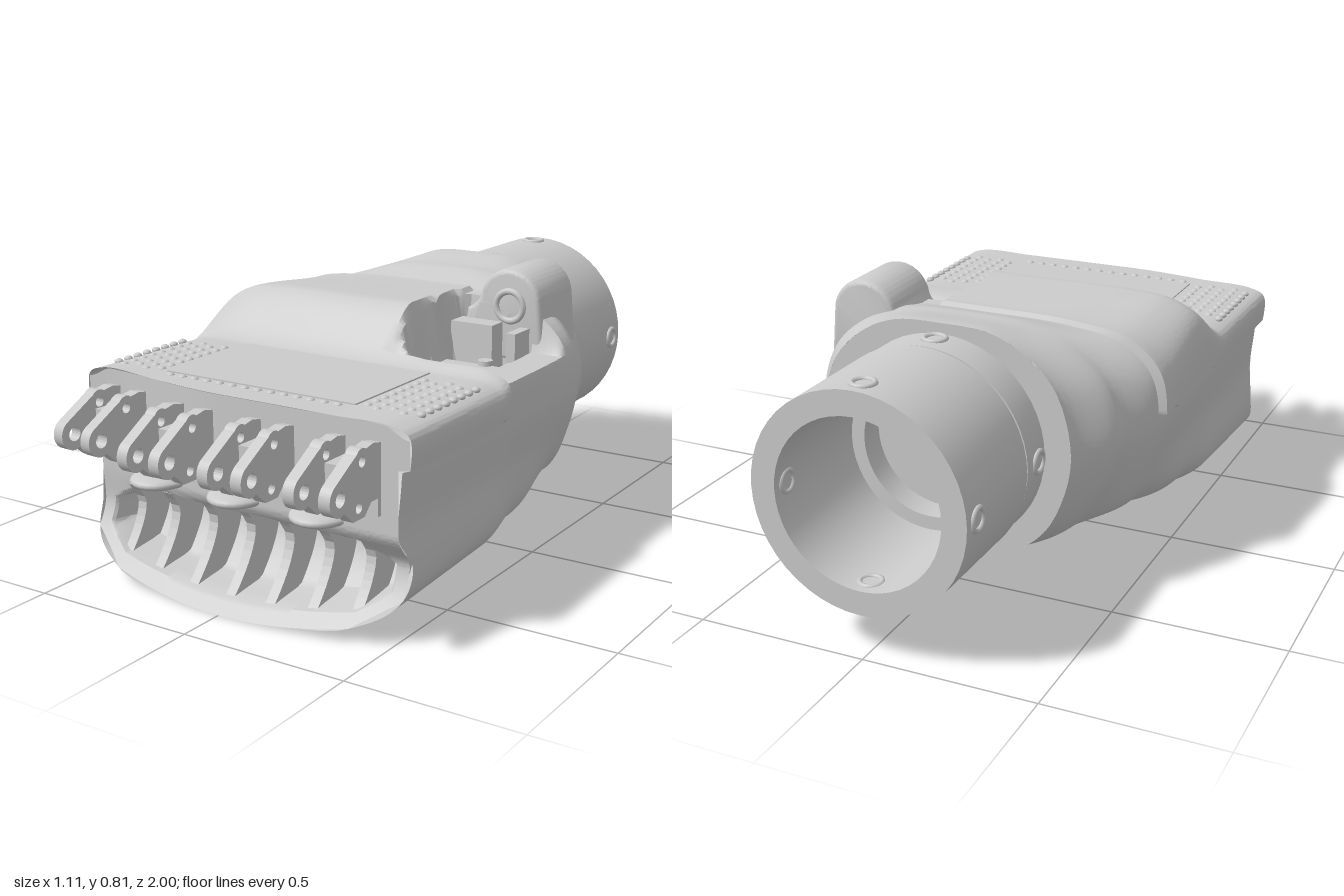
import * as THREE from 'three';
import { toCreasedNormals } from 'three/addons/utils/BufferGeometryUtils.js';

const { smoothstep: ss, lerp, clamp } = THREE.MathUtils;
const grey = new THREE.MeshStandardMaterial({ color: 0xcccccc, side: THREE.DoubleSide });

function add(parent, name, geo, x = 0, y = 0, z = 0) {
  const m = new THREE.Mesh(geo, grey);
  m.name = name;
  m.position.set(x, y, z);
  parent.add(m);
  return m;
}

// Surface over (u, v) in 0..1, facing du x dv
function grid(nu, nv, fn) {
  const pos = [], idx = [];
  for (let i = 0; i <= nu; i++) for (let j = 0; j <= nv; j++) pos.push(...fn(i / nu, j / nv));
  for (let i = 0; i < nu; i++) for (let j = 0; j < nv; j++) {
    const a = i * (nv + 1) + j, b = a + nv + 1;
    idx.push(a, b, a + 1, b, b + 1, a + 1);
  }
  const g = new THREE.BufferGeometry();
  g.setAttribute('position', new THREE.Float32BufferAttribute(pos, 3));
  g.setIndex(idx);
  return toCreasedNormals(g, 0.6);
}

// Side-view shape (z, y) given thickness along x, centred on x = 0
function sidePlate(shape, width) {
  return new THREE.ExtrudeGeometry(shape, { depth: width, bevelEnabled: false, curveSegments: 10 })
    .translate(0, 0, -width / 2).rotateY(-Math.PI / 2);
}

function circleHole(x, y, r) {
  return new THREE.Path().absarc(x, y, r, 0, Math.PI * 2, true);
}

// Right half outlines of the body, top centre to bottom centre, from wrist to knuckles
const zKeys = [-0.52, -0.36, -0.2, 0.1, 0.3];
const halves = [
  [0, .775, .15, .765, .26, .71, .34, .62, .38, .47, .37, .36, .31, .22, .22, .14, .12, .1, 0, .09],
  [0, .755, .18, .745, .32, .7, .42, .61, .465, .47, .44, .34, .36, .2, .24, .11, .12, .085, 0, .08],
  [0, .715, .25, .71, .41, .68, .5, .6, .525, .47, .5, .33, .44, .2, .3, .125, .15, .11, 0, .105],
  [0, .72, .3, .72, .42, .705, .5, .65, .525, .47, .51, .33, .49, .17, .37, .08, .18, .045, 0, .04],
  [0, .575, .3, .575, .48, .57, .525, .54, .525, .45, .515, .33, .515, .15, .39, .055, .2, .03, 0, .02],
  [0, .575, .3, .575, .48, .573, .528, .55, .525, .45, .515, .33, .515, .12, .39, .04, .2, .012, 0, 0],
];
const outlines = halves.map((h) => {
  const p = [];
  for (let i = 0; i < h.length; i += 2) p.push(new THREE.Vector3(h[i], h[i + 1], 0));
  const left = p.slice(1, -1).reverse().map((q) => new THREE.Vector3(-q.x, q.y, 0));
  return new THREE.CatmullRomCurve3([...p, ...left], true);
});

// z of the front: upright knuckle face above, scooped lip below
function frontZ(x, y) {
  if (y < 0.2) return 0.72 + 0.14 * Math.pow(1 - clamp(y, 0, 0.2) / 0.2, 1.6);
  const k = ss(y, 0.2, 0.3);
  return 0.72 + k * (0.055 - 0.05 * ss(-x, 0.05, 0.5));
}

// Lower edge of the front opening
function lowerEdge(x) {
  const a = Math.abs(x);
  return a < 0.39 ? 0.04 * (a / 0.39) ** 2 : lerp(0.04, 0.12, (a - 0.39) / 0.125);
}

// Depth inside the thumb notch, a rectangle with a rounded inner front corner
function notchDepth(x, z) {
  const r = 0.12, dx = 0.15 + r - x, dz = z - (0.25 - r);
  const corner = dx > 0 && dz > 0 ? r - Math.hypot(dx, dz) : r - Math.max(dx, dz);
  return Math.min(corner, z + 0.16);
}

function bodyPoint(u, v) {
  const s = Math.min(u * 5, 4.9999), i = Math.floor(s), t = u === 1 ? 1 : s - i;
  const k = i === 4 ? t : ss(t, 0, 1);
  const p = outlines[i].getPoint(v % 1).lerp(outlines[i + 1].getPoint(v % 1), k);
  let { x, y } = p;
  const z = lerp(zKeys[i], i === 4 ? frontZ(x, y) : zKeys[i + 1], t);
  // raised cover over the back of the hand and its skirt
  if (z > -0.22 && y > 0.48 && (x < 0.15 || z > 0.24)) {
    x *= 1.04;
    y += 0.014 * ss(y, 0.48, 0.56);
  }
  // thumb notch with a deeper well
  const d = notchDepth(x, z);
  if (d > 0 && y > 0.56) {
    y = lerp(y, Math.min(y, 0.57), ss(d, 0, 0.025));
    if (x > 0.18 && x < 0.41 && z < 0.13) y = Math.min(y, 0.51);
  }
  return [x, y, z];
}

function frontPoint(u, v) {
  const s = u * 2 - 1, yb = lowerEdge(s * 0.515);
  const y = lerp(yb, 0.588 - 0.03 * ss(Math.abs(s), 0.85, 1), v);
  const x = s * (y > 0.48 ? 0.549 : 0.516), a = Math.abs(x);
  const inside = Math.min(y - yb - 0.035, 0.262 - y, 0.475 - a, (0.475 - a) * 0.6 + 0.205 - y);
  return [x, y, frontZ(x, y) - 0.12 * ss(inside, 0, 0.02)];
}

function wristTube(root) {
  const profile = [[.305, .5], [.305, .63], [.295, .63], [.295, .645], [.31, .645], [.31, 1], [.24, 1],
    [.24, .61], [.2, .61], [.2, .53], [0, .53]].map((p) => new THREE.Vector2(...p));
  const geo = new THREE.LatheGeometry(profile, 48).rotateX(-Math.PI / 2);
  add(root, 'wristTube', toCreasedNormals(geo, 0.5), 0, 0.44, 0);
  // screw rims around both bands, outside and inside
  for (let i = 0; i < 4; i++) {
    const a = i * Math.PI / 2;
    for (const [z, r] of [[-0.94, 0.309], [-0.94, 0.241], [-0.56, 0.304]]) {
      const rim = add(root, 'screwRim', new THREE.TorusGeometry(0.03, 0.008, 8, 20),
        Math.sin(a) * r, 0.44 + Math.cos(a) * r, z);
      rim.rotation.set(Math.PI / 2, a, 0, 'YXZ');
      rim.lookAt(Math.sin(a) * 2, 0.44 + Math.cos(a) * 2, z);
    }
  }
}

function knuckle(root, x, dz, turn) {
  const g = new THREE.Group();
  g.name = 'knuckle';
  g.position.set(x, 0, 0.76 + dz);
  g.rotation.y = turn;
  root.add(g);
  const s = new THREE.Shape();
  s.moveTo(0, 0.4);
  s.lineTo(0.06, 0.4);
  s.lineTo(0.09, 0.37);
  s.lineTo(0.14, 0.37);
  s.lineTo(0.18, 0.405);
  s.absarc(0.195, 0.445, 0.045, -1.6, 1.1, false);
  s.lineTo(0.13, 0.535);
  s.absarc(0.1, 0.52, 0.03, 0.6, 2.2, false);
  s.lineTo(0.05, 0.55);
  s.lineTo(0, 0.54);
  s.holes.push(circleHole(0.195, 0.445, 0.02), circleHole(0.1, 0.515, 0.014), circleHole(0.115, 0.4, 0.014));
  for (const side of [-1, 1]) add(g, 'prong', sidePlate(s, 0.034), side * 0.053);
  add(g, 'link', new THREE.BoxGeometry(0.04, 0.11, 0.13), 0, 0.45, 0.065);
  add(g, 'seat', new THREE.BoxGeometry(0.14, 0.1, 0.04), 0, 0.4, 0.01);
  const bolt = new THREE.CylinderGeometry(0.03, 0.03, 0.1, 6).rotateX(Math.PI / 2);
  add(g, 'bolt', toCreasedNormals(bolt, 0.5), 0, 0.385, 0.06);
}

function thumbMount(root) {
  const s = new THREE.Shape();
  s.moveTo(0.18, 0.55);
  s.lineTo(0.2, 0.67);
  s.quadraticCurveTo(0.235, 0.69, 0.25, 0.73);
  s.absarc(0.33, 0.71, 0.085, 2.9, 0.1, true);
  s.lineTo(0.43, 0.55);
  s.holes.push(circleHole(0.332, 0.7, 0.025));
  const geo = new THREE.ExtrudeGeometry(s, {
    depth: 0.2, bevelThickness: 0.015, bevelSize: 0.015, bevelSegments: 3, curveSegments: 20,
  });
  add(root, 'thumbMount', toCreasedNormals(geo, 0.6), 0, 0, -0.355);
  add(root, 'pivotRim', new THREE.TorusGeometry(0.045, 0.01, 8, 28), 0.332, 0.7, -0.14);
  add(root, 'thumbLink', new THREE.BoxGeometry(0.14, 0.15, 0.07), 0.24, 0.575, -0.11);
  add(root, 'thumbCheek', new THREE.BoxGeometry(0.03, 0.14, 0.1), 0.385, 0.57, -0.1);
  add(root, 'wellStep', new THREE.BoxGeometry(0.2, 0.04, 0.1), 0.3, 0.53, 0.05);
  add(root, 'wellPin', new THREE.CylinderGeometry(0.022, 0.022, 0.03, 16), 0.33, 0.55, 0.0);
}

export function createModel() {
  const root = new THREE.Group();
  root.name = 'mechanicalHandPalm';

  // palm shell with its wrist end and front
  add(root, 'palmShell', grid(110, 252, bodyPoint));
  add(root, 'wristEnd', grid(1, 72, (u, v) => {
    const p = outlines[0].getPoint(v % 1);
    return [p.x * u, lerp(0.44, p.y, u), -0.52];
  }));
  add(root, 'frontFace', grid(140, 80, frontPoint));
  wristTube(root);
  thumbMount(root);

  // ribs in the front opening
  for (const x of [-0.39, -0.265, -0.13, 0, 0.13, 0.26, 0.39]) {
    const y0 = lowerEdge(x) + 0.02, pts = [new THREE.Vector2(0.56, y0)];
    for (let i = 0; i <= 10; i++) {
      const y = lerp(y0, 0.262, i / 10);
      pts.push(new THREE.Vector2(frontZ(0, y) - 0.015, y));
    }
    pts.push(new THREE.Vector2(0.56, 0.262));
    add(root, 'rib', sidePlate(new THREE.Shape(pts), 0.03), x);
  }

  // knuckle brackets and the scalloped shelves between them
  knuckle(root, -0.395, -0.05, -0.08);
  for (const x of [-0.135, 0.13, 0.395]) knuckle(root, x, 0, 0);
  for (const x of [-0.27, 0, 0.27]) {
    const shelf = new THREE.SphereGeometry(1, 24, 12).scale(0.085, 0.025, 0.1);
    add(root, 'shelf', shelf, x, 0.31, 0.75);
  }

  // top panel and grip studs
  add(root, 'topPanel', new THREE.BoxGeometry(0.63, 0.02, 0.37), 0.005, 0.583, 0.485);
  const stud = new THREE.SphereGeometry(0.013, 10, 6).scale(1, 0.7, 1);
  for (const side of [-1, 1]) for (let i = 0; i < 5; i++) for (let j = 0; j < 8; j++)
    add(root, 'gripStud', stud, side * (0.345 + i * 0.04), 0.587, 0.37 + j * 0.04 + (i % 2) * 0.02);
  for (let i = 0; i < 14; i++) add(root, 'gripStud', stud, -0.28 + i * 0.043, 0.587, 0.69);

  // drain boss under the wrist
  const boss = [[0, .02], [.03, .02], [.03, 0], [.05, 0], [.065, .03], [.065, .06]];
  const bossGeo = new THREE.LatheGeometry(boss.map((p) => new THREE.Vector2(...p)), 28);
  add(root, 'underBoss', toCreasedNormals(bossGeo, 0.5), 0, 0.068, -0.36);
  return root;
}
